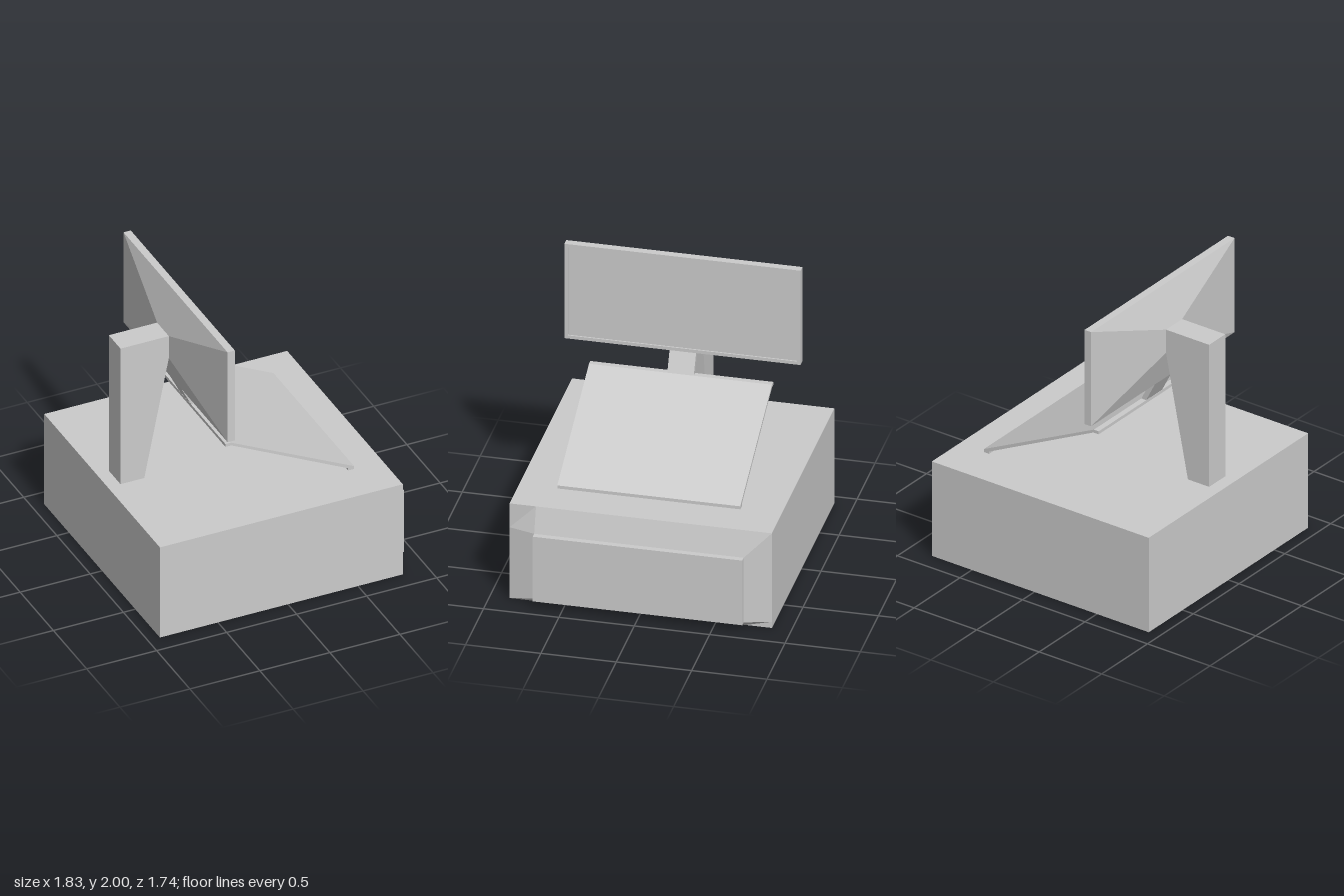
import * as THREE from 'three';

const material = new THREE.MeshStandardMaterial({ color: 0xcccccc, flatShading: true });

export function createModel() {
  const model = new THREE.Group();

  function add(name, geometry) {
    const flat = geometry.index ? geometry.toNonIndexed() : geometry;
    flat.computeVertexNormals();
    const mesh = new THREE.Mesh(flat, material);
    mesh.name = name;
    model.add(mesh);
    return mesh;
  }

  // Box given by its x and y limits, centred on z
  function block(x0, x1, y0, y1, halfZ, ySeg = 1, zSeg = 1) {
    return new THREE.BoxGeometry(x1 - x0, y1 - y0, halfZ * 2, 1, ySeg, zSeg)
      .translate((x0 + x1) / 2, (y0 + y1) / 2, 0);
  }

  // Side profile in x and y, extruded symmetrically along z
  function profile(points, halfZ) {
    const shape = new THREE.Shape(points.map(([x, y]) => new THREE.Vector2(x, y)));
    return new THREE.ExtrudeGeometry(shape, { depth: halfZ * 2, bevelEnabled: false })
      .translate(0, 0, -halfZ);
  }

  // Base cabinet: the middle cell of its +x face is pushed out into a sloped bulge
  const base = block(-0.915, 0.82, 0, 0.695, 0.87, 3, 3);
  const rows = [0.695, 0.52, 0.045, 0];
  const columns = [0.87, 0.695, -0.695, -0.87];
  for (let i = 0; i < 16; i++) {
    const c = i % 4, r = Math.floor(i / 4);
    const inner = (c === 1 || c === 2) && (r === 1 || r === 2);
    base.attributes.position.setXYZ(i, inner ? 0.87 : 0.82, rows[r], columns[c]);
  }
  add('base', base);
  add('drawerPanel', block(0.87, 0.91, 0.045, 0.52, 0.695));

  // Tapered column carrying the screen
  add('column', profile(
    [[-0.825, 0.695], [-0.655, 0.695], [-0.48, 1.57], [-0.48, 1.74], [-0.825, 1.74]], 0.088));

  // Screen housing tapering back to the column
  const back = block(-0.48, -0.39, 1.307, 2, 0.783);
  const p = back.attributes.position;
  for (let i = 0; i < p.count; i++) {
    if (p.getX(i) < -0.45) {
      p.setY(i, p.getY(i) > 1.65 ? 1.74 : 1.57);
      p.setZ(i, Math.sign(p.getZ(i)) * 0.088);
    }
  }
  add('screenBack', back);

  // Bezel around a slightly recessed display
  const rect = (Type, z, y0, y1) => new Type([
    new THREE.Vector2(-z, y0), new THREE.Vector2(z, y0),
    new THREE.Vector2(z, y1), new THREE.Vector2(-z, y1)]);
  const frame = rect(THREE.Shape, 0.783, 1.307, 2);
  frame.holes.push(rect(THREE.Path, 0.76, 1.33, 1.977));
  add('screenBezel', new THREE.ExtrudeGeometry(frame, { depth: 0.052, bevelEnabled: false })
    .rotateY(Math.PI / 2).translate(-0.39, 0, 0));
  add('display', block(-0.39, -0.348, 1.33, 1.977, 0.76));

  // Bent neck and sloping tray with a lip at each end
  add('neck', profile([[-0.39, 1.307], [-0.32, 1.168], [-0.283, 1.168], [-0.35, 1.307]], 0.088));
  add('tray', profile([
    [-0.322, 1.17], [-0.322, 1.148], [-0.28, 1.148], [0.555, 0.737],
    [0.555, 0.72], [0.597, 0.72], [0.597, 0.742], [-0.283, 1.17]], 0.607));

  return model;
}
